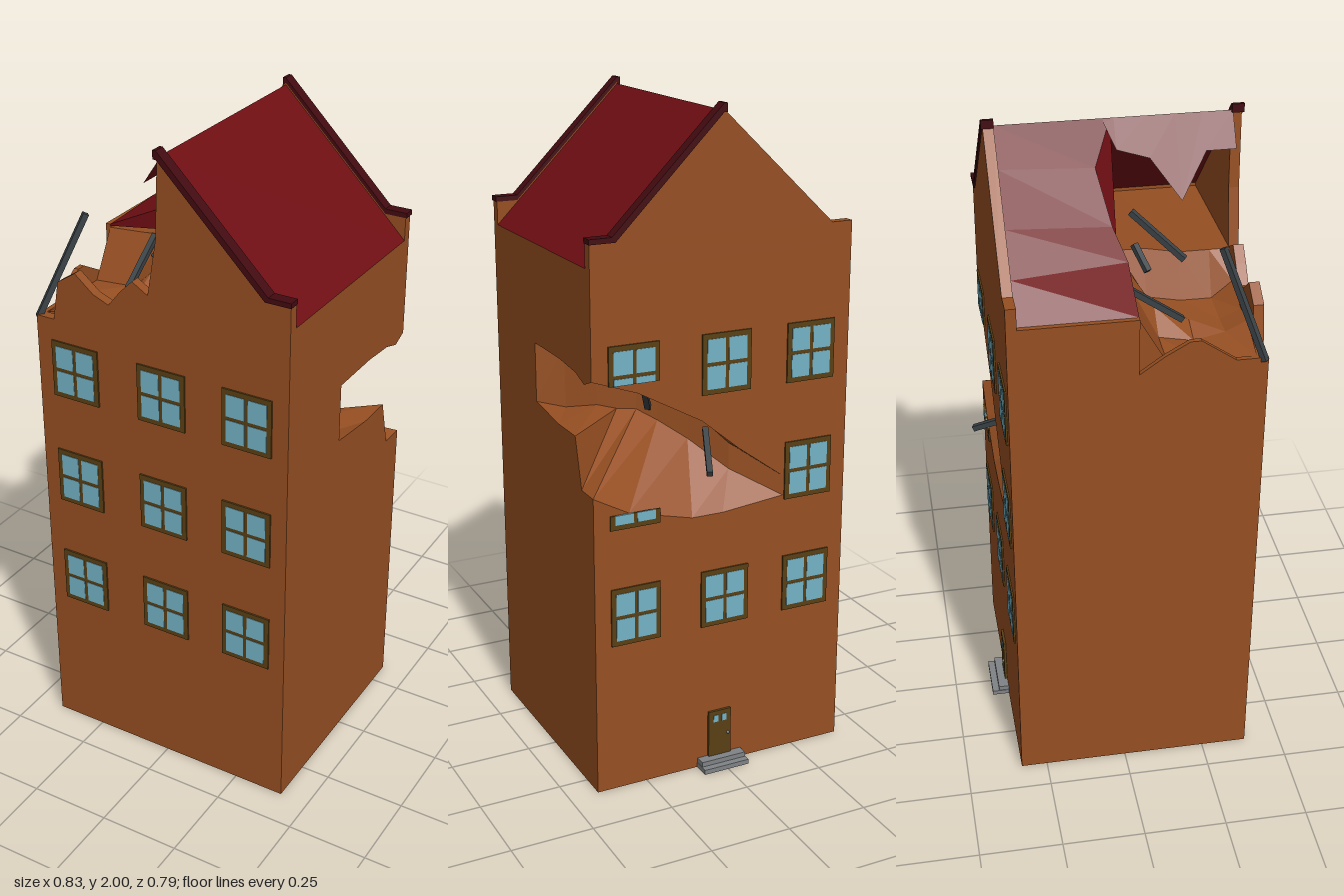
import * as THREE from 'three';

const mat = (name, color, side = THREE.FrontSide) => {
  const m = new THREE.MeshStandardMaterial({ color, side });
  m.name = name;
  return m;
};

export function createModel() {
  const wall = mat('brick', 0x964f22, THREE.DoubleSide);
  const roof = mat('roof red', 0x700e13, THREE.DoubleSide);
  const trim = mat('dark coping', 0x420a10);
  const glass = mat('glass', 0x74b2c6);
  const wood = mat('frame wood', 0x5a4014);
  const beamGrey = mat('beam grey', 0x3a4246);
  const stone = mat('step stone', 0x808386);
  const house = new THREE.Group();
  house.name = 'ruinedHouse';

  const add = (name, geo, material, parent = house) => {
    const m = new THREE.Mesh(geo, material);
    m.name = name;
    parent.add(m);
    return m;
  };
  const box = (name, w, h, d, x, y, z, material, parent = house) => {
    const m = add(name, new THREE.BoxGeometry(w, h, d), material, parent);
    m.position.set(x, y, z);
    return m;
  };
  const shape = (pts) => new THREE.Shape(pts.map(([a, b]) => new THREE.Vector2(a, b)));
  const slab = (pts, depth, z) =>
    new THREE.ExtrudeGeometry(shape(pts), { depth, bevelEnabled: false }).translate(0, 0, z);
  // Faceted sheet through rows of points with equal counts
  const loft = (rows) => {
    const pos = [];
    for (let r = 0; r < rows.length - 1; r++) {
      for (let c = 0; c < rows[r].length - 1; c++) {
        const a = rows[r][c], b = rows[r][c + 1], d = rows[r + 1][c], e = rows[r + 1][c + 1];
        pos.push(...a, ...d, ...b, ...b, ...d, ...e);
      }
    }
    const g = new THREE.BufferGeometry();
    g.setAttribute('position', new THREE.Float32BufferAttribute(pos, 3));
    g.computeVertexNormals();
    return g;
  };

  // Blast hole round the back corner: upper and lower rim, and the cavity behind
  const W = 0.41, BK = -0.33;
  const topSide = [[0.08, 1.28], [-0.1, 1.28], [-0.22, 1.27], [-0.28, 1.25], [BK, 1.27]];
  const botSide = [[0.08, 1.1], [-0.09, 1.08], [-0.21, 1.08], [-0.25, 0.93], [BK, 0.93]];
  const topBack = [[0.27, 1.22], [0.07, 1.11], [-0.05, 1.01], [-0.2, 0.9]];
  const botBack = [[0.3, 0.87], [0.1, 0.82], [0, 0.82], [-0.2, 0.84]];
  const rim = (side, back) => [...side.map(([z, y]) => [W, y, z]), ...back.map(([x, y]) => [x, y, BK])];
  const inner = [ // x, z, ceiling, floor
    [0.41, 0.08, 1.28, 1.1], [0.33, 0.05, 1.27, 1.08], [0.25, 0, 1.26, 1.09], [0.2, -0.03, 1.25, 1.08],
    [0.15, -0.06, 1.22, 1.08], [0.1, -0.1, 1.18, 1.05], [0.03, -0.16, 1.1, 1], [-0.06, -0.25, 1, 0.92],
    [-0.2, BK, 0.9, 0.84]];
  add('blastCavity', loft([
    rim(topSide, topBack),
    inner.map(([x, z, t]) => [x, t, z]),
    inner.map(([x, z, , b]) => [x, b, z]),
    rim(botSide, botBack),
  ]), wall);

  // Walls
  add('rightWall', new THREE.ShapeGeometry(shape([
    [0.36, 0], [BK, 0], ...[...botSide].reverse(), ...topSide, [BK, 1.58], [0.36, 1.58],
  ])).rotateY(-Math.PI / 2).translate(W, 0, 0), wall);
  add('backWall', new THREE.ShapeGeometry(shape([
    [-W, 0], [W, 0], [W, 0.93], ...botBack, ...[...topBack].reverse(), [W, 1.27], [W, 1.58], [-W, 1.58],
  ])).translate(0, 0, BK), wall);
  add('backGable', slab([
    [-W, 1.58], [W, 1.58], [W, 1.65], [0.345, 1.65], [0.01, 1.985], [-0.345, 1.645], [-W, 1.645],
  ], 0.03, BK), wall);
  add('frontWall', slab([
    [-W, 0], [W, 0], [W, 1.65], [0.345, 1.65], [0.01, 1.985], [0, 1.75], [-0.03, 1.58], [-0.08, 1.61],
    [-0.12, 1.57], [-0.16, 1.52], [-0.21, 1.54], [-0.27, 1.59], [-0.33, 1.55], [-0.35, 1.43], [-W, 1.43],
  ], 0.03, 0.36), wall);
  add('leftWall', slab([
    [BK, 0], [0.36, 0], [0.36, 1.43], [0.3, 1.43], [0.2, 1.5], [0.17, 1.5], [0.1, 1.46],
    [0.03, 1.41], [0.03, 1.58], [BK, 1.58],
  ], 0.015, 0).rotateY(-Math.PI / 2).translate(-0.395, 0, 0), wall);
  add('base', new THREE.PlaneGeometry(0.82, 0.72).rotateX(Math.PI / 2).translate(0, 0, 0.03), wall);

  // Broken attic floor, sunk in the open front quarter
  const xs = [-0.395, -0.27, -0.2, -0.09, -0.04, W];
  const floorRows = [
    [-0.3, [1.57, 1.57, 1.57, 1.57, 1.57, 1.57]],
    [0.03, [1.57, 1.58, 1.59, 1.6, 1.6, 1.57]],
    [0.11, [1.43, 1.44, 1.5, 1.47, 1.6, 1.57]],
    [0.21, [1.43, 1.42, 1.45, 1.45, 1.58, 1.57]],
    [0.3, [1.42, 1.44, 1.44, 1.45, 1.58, 1.57]],
    [0.36, [1.43, 1.47, 1.47, 1.5, 1.58, 1.57]],
  ];
  add('atticFloor', loft(floorRows.map(([z, h]) => xs.map((x, i) => [x, h[i], z]))), wall);

  // Roof: whole right slope, sagging rear left slope, torn strip beside the ridge
  add('rightRoof', loft([
    [[0.01, 1.98, -0.3], [W, 1.58, -0.3]],
    [[0.01, 1.98, 0.37], [W, 1.58, 0.37]],
  ]), roof);
  add('rearLeftRoof', loft([
    [[-0.395, 1.58, -0.3], [-0.3, 1.67, -0.3], [-0.2, 1.77, -0.3], [-0.08, 1.89, -0.3], [0.01, 1.98, -0.3]],
    [[-0.395, 1.58, 0.03], [-0.23, 1.66, 0.03], [-0.15, 1.73, 0], [-0.045, 1.86, -0.03], [0.01, 1.98, 0.02]],
    [[-0.395, 1.575, 0.03], [-0.23, 1.6, 0.03], [-0.15, 1.61, 0.03], [-0.05, 1.62, 0.03], [0.01, 1.75, 0.03]],
  ]), roof);
  const torn = [[0, 0], [-0.04, 0.03], [-0.055, 0.12], [-0.12, 0.2], [-0.05, 0.28], [-0.05, 0.365]];
  add('tornRidgeRoof', loft([
    torn.map(([, z]) => [0.01, 1.98, z]),
    torn.map(([x, z]) => [x, 1.97 + x * 1.6, z]),
  ]), roof);

  // Gable copings
  const coping = [[0, 2], [0, 1.975], [0.01, 1.975], [0.335, 1.65], [0.413, 1.65], [0.413, 1.665], [0.345, 1.665], [0.01, 2]];
  for (const [name, z] of [['frontCoping', 0.36], ['backCoping', -0.335]]) {
    add(name, slab(coping, 0.035, z), trim);
  }

  // Windows; lo and hi limit the surviving height
  const windowAt = (x, y, parent, lo = 0, hi = 2) => {
    const g = new THREE.Group();
    g.name = 'window';
    parent.add(g);
    const strip = (name, w, h, d, px, py, m) => {
      const y0 = Math.max(lo, py - h / 2), y1 = Math.min(hi, py + h / 2);
      if (y1 > y0) box(name, w, y1 - y0, d, px, (y0 + y1) / 2, d / 2, m, g);
    };
    strip('windowFrame', 0.156, 0.178, 0.005, x, y, wood);
    for (const sx of [-1, 1]) for (const sy of [-1, 1]) {
      strip('windowPane', 0.058, 0.068, 0.0065, x + sx * 0.0345, y + sy * 0.0395, glass);
    }
  };
  const front = new THREE.Group(), back = new THREE.Group();
  front.name = 'frontWindows';
  front.position.z = 0.39;
  back.name = 'backFittings';
  back.position.z = BK;
  back.rotation.y = Math.PI;
  house.add(front, back);
  for (const y of [1.275, 0.915, 0.555]) for (const x of [-0.282, 0.007, 0.282]) {
    windowAt(x, y, front);
    const right = x < -0.1; // the back group is turned round
    if (y === 0.915 && x === 0.007) continue;
    if (right && y > 1) windowAt(x, y, back, 1.25);
    else if (right && y > 0.9) windowAt(x, y, back, 0, 0.87);
    else windowAt(x, y, back);
  }

  // Back door and steps
  box('door', 0.075, 0.15, 0.008, -0.007, 0.105, 0.004, wood, back);
  for (const sx of [-1, 1]) box('doorPane', 0.016, 0.022, 0.0095, -0.007 + sx * 0.014, 0.155, 0.005, glass, back);
  const knob = add('doorKnob', new THREE.SphereGeometry(0.005, 8, 6), stone, back);
  knob.position.set(0.02, 0.1, 0.01);
  box('lowerStep', 0.15, 0.015, 0.053, -0.005, 0.0075, 0.0265, stone, back);
  box('upperStep', 0.146, 0.015, 0.032, -0.005, 0.0225, 0.016, stone, back);

  // Fallen beams
  const beams = [
    [[-0.41, 1.42, 0.38], [-0.305, 1.72, 0.275]],
    [[-0.235, 1.58, 0.03], [-0.232, 1.47, 0.185]],
    [[-0.125, 1.6, 0.21], [-0.045, 1.72, 0.07]],
    [[-0.105, 1.56, 0.11], [-0.05, 1.62, 0.08]],
    [[0.19, 1.22, -0.185], [0.126, 1.09, -0.09]],
    [[0.01, 1.05, -0.235], [0.075, 0.97, -0.39]],
  ];
  for (const [p, q] of beams) {
    const a = new THREE.Vector3(...p), b = new THREE.Vector3(...q);
    const m = box('fallenBeam', 0.017, 0.017, a.distanceTo(b), 0, 0, 0, beamGrey);
    m.position.copy(a).lerp(b, 0.5);
    m.lookAt(b);
  }
  return house;
}
